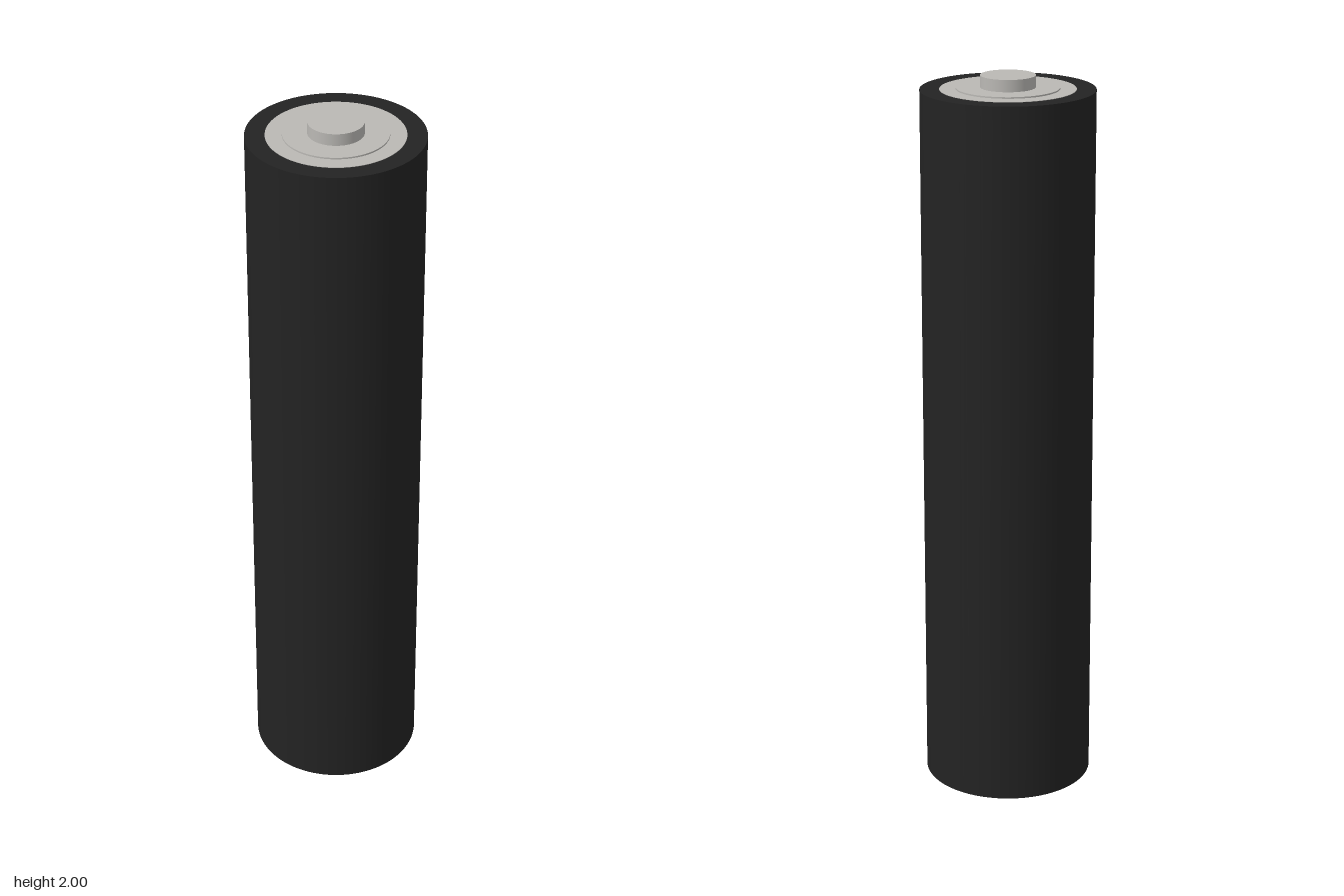
import * as THREE from 'three';

export function createModel() {
  const model = new THREE.Group();
  model.name = 'battery';

  const black = new THREE.MeshStandardMaterial({ color: 0x232323 });
  black.name = 'black wrapper';
  const metal = new THREE.MeshStandardMaterial({ color: 0xbab8b4 });
  metal.name = 'pale metal';

  // Upright disc or cylinder spanning y0 to y1
  const disc = (name, radius, y0, y1, material) => {
    const mesh = new THREE.Mesh(new THREE.CylinderGeometry(radius, radius, y1 - y0, 96), material);
    mesh.name = name;
    mesh.position.y = (y0 + y1) / 2;
    model.add(mesh);
  };

  // Wrapped body
  disc('body', 0.232, 0.01, 1.963, black);

  // Positive end: flat cap, shallow step and raised button
  disc('topCap', 0.18, 1.96, 1.964, metal);
  disc('topStep', 0.137, 1.96, 1.968, metal);
  disc('positiveTerminal', 0.073, 1.96, 2, metal);

  // Negative end: low contact plate
  disc('negativeTerminal', 0.113, 0, 0.012, metal);

  return model;
}
